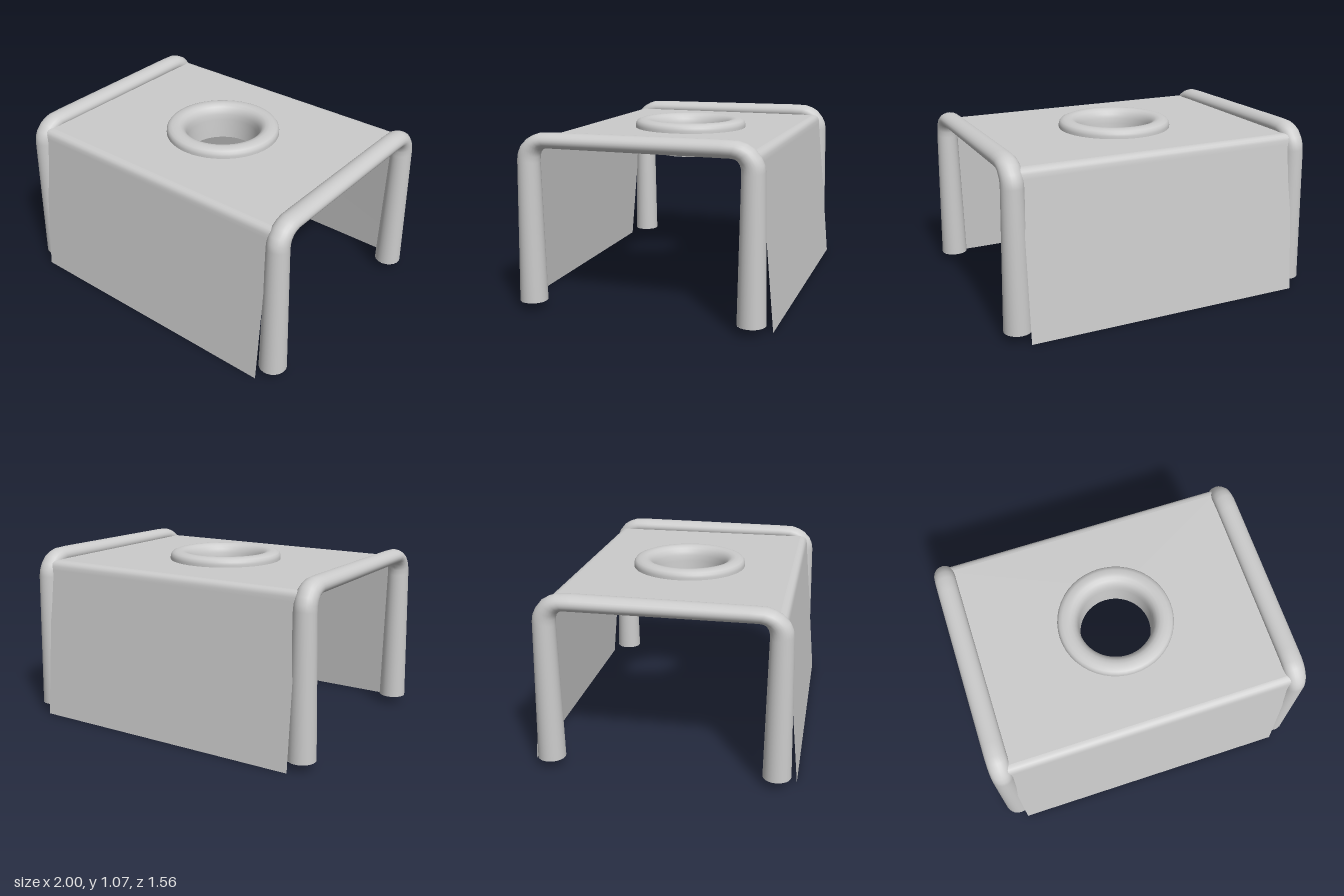
import * as THREE from 'three';

const material = new THREE.MeshStandardMaterial({ color: 0xcccccc, side: THREE.DoubleSide });

function addMesh(parent, name, geometry) {
  const mesh = new THREE.Mesh(geometry, material);
  mesh.name = name;
  parent.add(mesh);
  return mesh;
}

// Tube with varying oval section; each section spans an inner and outer point in the side plane
function frameGeometry(sections, sides = 24) {
  const positions = [], index = [];
  sections.forEach(([zi, yi, zo, yo, rx], r) => {
    for (let i = 0; i < sides; i++) {
      const a = (i / sides) * Math.PI * 2, t = 0.5 + 0.5 * Math.cos(a);
      positions.push(rx * Math.sin(a), yi + (yo - yi) * t, zi + (zo - zi) * t);
      if (r === sections.length - 1) continue;
      const j = (i + 1) % sides, p = r * sides + i, q = r * sides + j;
      index.push(p, q, p + sides, q, q + sides, p + sides);
    }
  });
  const geometry = new THREE.BufferGeometry();
  geometry.setAttribute('position', new THREE.Float32BufferAttribute(positions, 3));
  geometry.setIndex(index);
  geometry.computeVertexNormals();
  return geometry;
}

export function createModel() {
  const model = new THREE.Group();
  model.name = 'table';

  // Bent side frames: two tapered legs joined by a top rail
  const half = [
    [0.585, 0.05, 0.75, 0.05, 0.083],
    [0.593, 0.5, 0.741, 0.5, 0.074],
    [0.6, 0.88, 0.733, 0.9, 0.066],
    [0.598, 0.915, 0.726, 0.94, 0.065],
    [0.592, 0.936, 0.708, 0.978, 0.065],
    [0.578, 0.955, 0.67, 1.017, 0.065],
    [0.562, 0.963, 0.63, 1.04, 0.065],
    [0.54, 0.966, 0.585, 1.055, 0.065],
    [0.48, 0.966, 0.5, 1.058, 0.065],
  ];
  const back = half.map(([zi, yi, zo, yo, rx]) =>
    [-zi, yi, -zo, yo + (yo > 1 ? 0.008 : 0), rx]).reverse();
  const frame = frameGeometry([...half, ...back]);
  for (const side of [1, -1]) {
    const group = new THREE.Group();
    group.name = side > 0 ? 'leftFrame' : 'rightFrame';
    group.position.x = side * 0.918;
    model.add(group);
    addMesh(group, 'legsAndRail', frame);
    for (const end of [1, -1]) {
      const foot = addMesh(group, 'footCap', new THREE.CircleGeometry(0.083, 24));
      foot.rotation.x = Math.PI / 2;
      foot.position.set(0, 0.05, end * 0.6675);
    }
  }

  // Thin top sheet with a round opening
  const shape = new THREE.Shape();
  shape.moveTo(-0.88, -0.645).lineTo(0.88, -0.645).lineTo(0.88, 0.645).lineTo(-0.88, 0.645).closePath();
  shape.holes.push(new THREE.Path().absarc(0, 0.01, 0.3, 0, Math.PI * 2, true));
  const top = addMesh(model, 'topSheet', new THREE.ShapeGeometry(shape, 40));
  top.rotation.x = -Math.PI / 2;
  top.position.set(-0.005, 1, 0);

  // Front and back flaps with a soft bend at the top edge
  const bend = [[0.645, 1], [0.66, 0.998], [0.674, 0.992], [0.685, 0.981], [0.691, 0.965], [0.694, 0.94], [0.78, 0]];
  const flap = new THREE.PlaneGeometry(1.76, 1, 1, bend.length - 1);
  const pos = flap.attributes.position;
  for (let i = 0; i < pos.count; i++) {
    const [z, y] = bend[Math.floor(i / 2)];
    pos.setY(i, y);
    pos.setZ(i, z);
  }
  flap.computeVertexNormals();
  for (const name of ['frontFlap', 'backFlap']) {
    const mesh = addMesh(model, name, flap);
    mesh.position.x = -0.005;
    if (name === 'backFlap') mesh.rotation.y = Math.PI;
  }

  // Rounded rim around the opening, continuing down as a short open sleeve
  const profile = [
    [0.22, 0.835], [0.226, 0.96], [0.23, 0.995], [0.238, 1.02], [0.252, 1.04], [0.272, 1.052],
    [0.295, 1.055], [0.322, 1.052], [0.342, 1.044], [0.352, 1.03], [0.355, 1.015], [0.355, 0.998],
  ].map(([r, y]) => new THREE.Vector2(r, y)).reverse();
  const rim = addMesh(model, 'rimAndSleeve', new THREE.LatheGeometry(profile, 48));
  rim.position.z = -0.008;

  return model;
}
